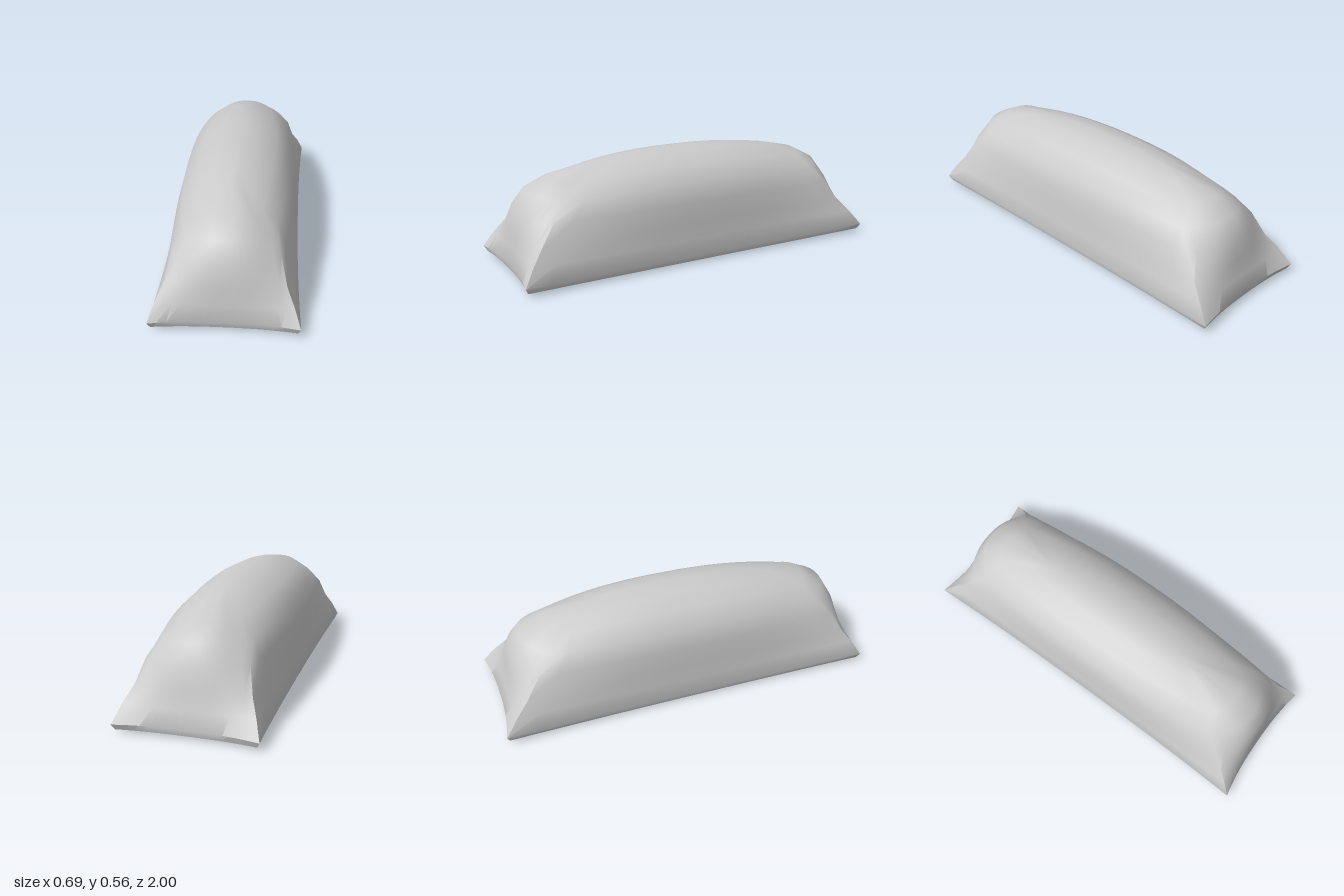
import * as THREE from 'three';
import { toCreasedNormals } from 'three/addons/utils/BufferGeometryUtils.js';

// Rings from the underside to the crown. Each gives:
// side middle [x, y], corner [x, y, z], end middle [y, z], back-end length factor
const RINGS = [
  { side: [0, 0.003], corner: [0, 0.003, 0], end: [0.003, 0], back: 1 },
  { side: [0.285, 0.004], corner: [0.285, 0.004, 0.94], end: [0.004, 0.93], back: 1 },
  { side: [0.318, 0.014], corner: [0.333, 0.02, 0.985], end: [0.017, 0.96], back: 1 },
  { side: [0.325, 0.042], corner: [0.346, 0.048, 1], end: [0.05, 0.97], back: 1 },
  { side: [0.313, 0.13], corner: [0.315, 0.13, 0.95], end: [0.13, 0.957], back: 0.985 },
  { side: [0.304, 0.22], corner: [0.28, 0.2, 0.895], end: [0.22, 0.947], back: 0.97 },
  { side: [0.295, 0.315], corner: [0.25, 0.31, 0.82], end: [0.32, 0.927], back: 0.97 },
  { side: [0.27, 0.415], corner: [0.205, 0.39, 0.74], end: [0.415, 0.87], back: 0.97 },
  { side: [0.195, 0.49], corner: [0.135, 0.448, 0.7], end: [0.475, 0.75], back: 0.97 },
  { side: [0.1, 0.542], corner: [0.06, 0.508, 0.55], end: [0.515, 0.56], back: 0.98 },
  { side: [0, 0.56], corner: [0, 0.54, 0.4], end: [0.54, 0.4], back: 1 },
];
const N = 8; // steps from a side or end middle to a corner
const AROUND = 8 * N;

// Point on one quarter of a ring: side middle -> corner -> end middle
function quarterPoint({ side, corner, end }, i) {
  const r = i <= N ? i / N : (2 * N - i) / N;
  const f = Math.pow(r, 2.4);
  const mix = THREE.MathUtils.lerp;
  return i <= N
    ? [mix(side[0], corner[0], f), mix(side[1], corner[1], f), corner[2] * r]
    : [corner[0] * r, mix(end[0], corner[1], f), mix(end[1], corner[2], f)];
}

// Mirror the quarter to get the whole ring
function ringPoint(ring, k) {
  const quarter = Math.floor(k / (2 * N));
  const i = k % (2 * N);
  const [x, y, z] = quarterPoint(ring, quarter % 2 ? 2 * N - i : i);
  const sx = quarter === 1 || quarter === 2 ? -1 : 1;
  return [sx * x, y, quarter < 2 ? z : -z * ring.back];
}

export function createModel() {
  const positions = [];
  const index = [];
  RINGS.forEach((ring, level) => {
    for (let k = 0; k < AROUND; k++) {
      positions.push(...ringPoint(ring, k));
      if (level === 0) continue;
      const a = (level - 1) * AROUND + k;
      const b = (level - 1) * AROUND + ((k + 1) % AROUND);
      const c = a + AROUND;
      const d = b + AROUND;
      // The flat centre and the crown line have collapsed edges
      index.push(a, c, b, b, c, d);
    }
  });
  const geometry = new THREE.BufferGeometry();
  geometry.setAttribute('position', new THREE.Float32BufferAttribute(positions, 3));
  geometry.setIndex(index);

  // Soft body, with the base rim kept crisp
  const body = new THREE.Mesh(
    toCreasedNormals(geometry, THREE.MathUtils.degToRad(42)),
    new THREE.MeshStandardMaterial({ color: 0xcccccc })
  );
  body.name = 'cushionBody';

  const group = new THREE.Group();
  group.name = 'cushion';
  group.add(body);
  return group;
}
